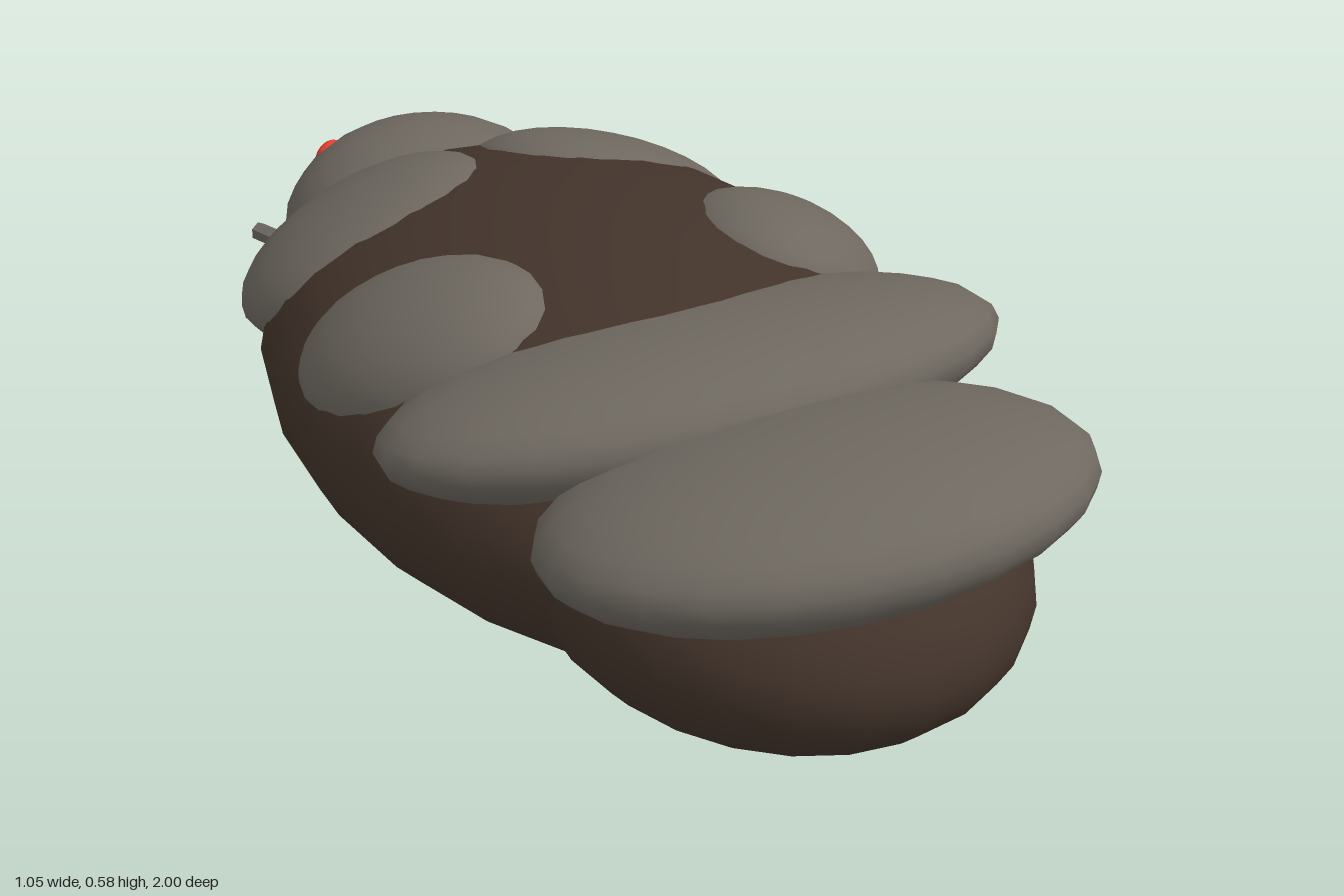
import * as THREE from 'three';

export function createModel() {
  const model = new THREE.Group();
  const mat = (name, color) => {
    const m = new THREE.MeshStandardMaterial({ color });
    m.name = name;
    return m;
  };
  const shell = mat('warm grey shell', 0x6e6860);
  const hide = mat('dark brown hide', 0x43342b);
  const red = mat('red eye', 0xe0402a);

  const ball = new THREE.SphereGeometry(1, 24, 16);
  const add = (name, geometry, material, position, rotation = [0, 0, 0]) => {
    const mesh = new THREE.Mesh(geometry, material);
    mesh.name = name;
    mesh.position.set(...position);
    // yaw first, then roll, then pitch
    mesh.rotation.set(...rotation, 'XZY');
    model.add(mesh);
    return mesh;
  };
  const ellipsoid = (name, material, position, radii, rotation) =>
    add(name, ball, material, position, rotation).scale.set(...radii);

  // Soft body, tail lobe and head (the head points to -z)
  ellipsoid('body', hide, [0, 0.295, 0.04], [0.515, 0.29, 0.75]);
  ellipsoid('tailLobe', hide, [0, 0.27, 0.57], [0.37, 0.22, 0.43]);
  ellipsoid('head', shell, [0, 0.3, -0.62], [0.26, 0.185, 0.25]);

  // Wide overlapping plates across the back
  ellipsoid('innerBackPlate', shell, [0, 0.44, 0.33], [0.527, 0.124, 0.288], [-0.26, 0, 0]);
  ellipsoid('outerBackPlate', shell, [0, 0.42, 0.69], [0.442, 0.127, 0.314], [-0.17, 0, 0]);

  // Small centre eye
  ellipsoid('centreEye', red, [0, 0.388, -0.836], [0.016, 0.014, 0.014]);

  // Mirrored parts
  const feeler = new THREE.CylinderGeometry(0.018, 0.018, 0.235, 6).rotateX(Math.PI / 2).toNonIndexed();
  feeler.computeVertexNormals();
  for (const s of [1, -1]) {
    const side = s > 0 ? 'left' : 'right';
    ellipsoid(side + 'ShoulderPlate', shell, [s * 0.223, 0.415, -0.385], [0.24, 0.1, 0.235], [-0.32, 0, s * -0.38]);
    ellipsoid(side + 'FlankPlate', shell, [s * 0.315, 0.445, 0.04], [0.18, 0.11, 0.24], [-0.15, s * -0.5, s * -0.45]);
    ellipsoid(side + 'Eye', red, [s * 0.1, 0.37, -0.828], [0.032, 0.028, 0.02], [0.3, s * -0.5, 0]);
    add(side + 'Feeler', feeler, shell, [s * 0.14, 0.16, -0.888], [0, s * -0.35, 0]);
  }

  return model;
}
